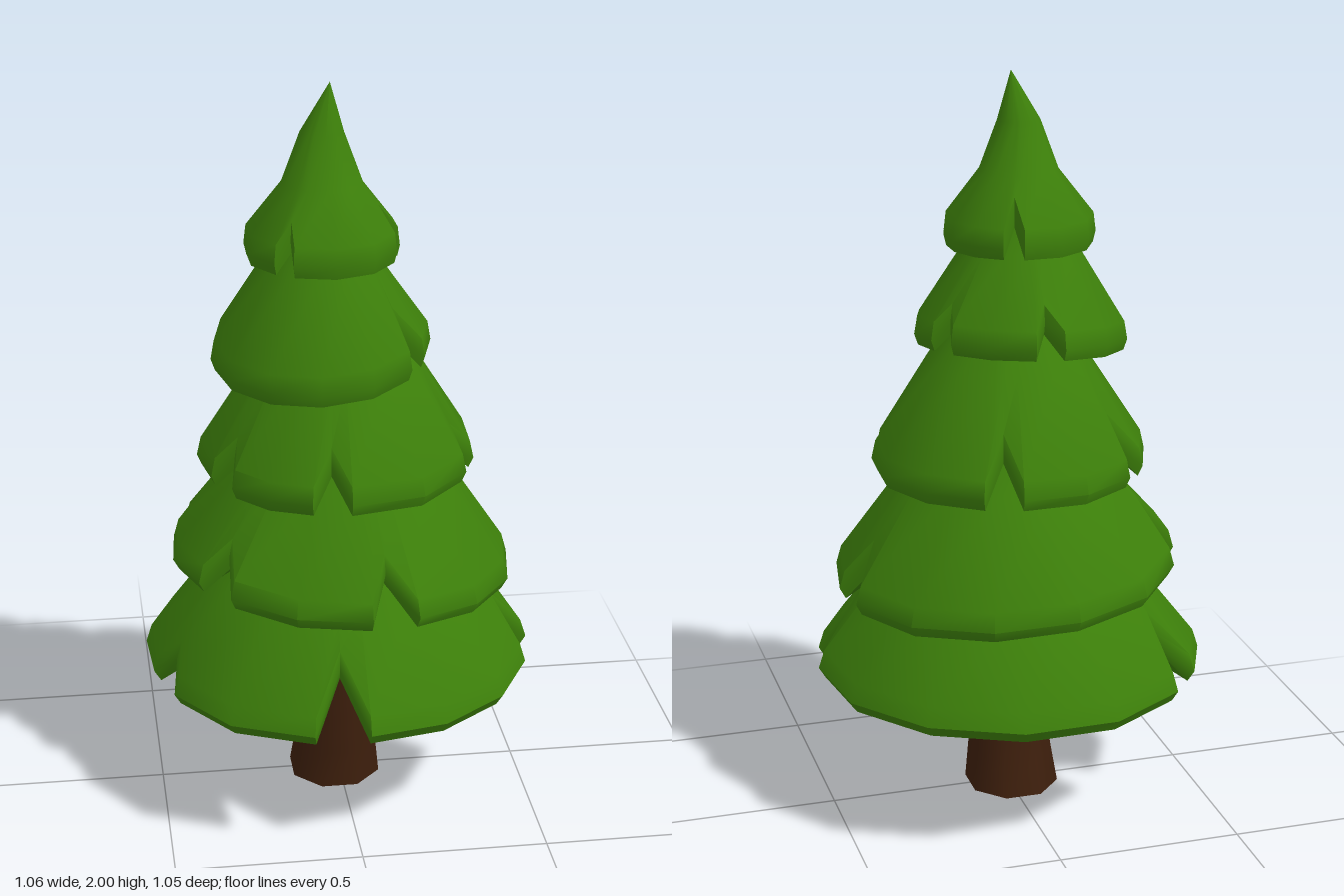
import * as THREE from 'three';
import { toCreasedNormals } from 'three/addons/utils/BufferGeometryUtils.js';

const leaf = new THREE.MeshStandardMaterial({ color: 0x3d800a, side: THREE.DoubleSide });
leaf.name = 'leafGreen';
const bark = new THREE.MeshStandardMaterial({ color: 0x3c1e0c });
bark.name = 'barkBrown';

// Skin a stack of closed rings, each a list of [x, y, z] clockwise from above.
function loft(rings, crease) {
  const n = rings[0].length;
  const index = [];
  for (let k = 0; k < rings.length - 1; k++) {
    for (let i = 0; i < n; i++) {
      const a = k * n + i, b = k * n + (i + 1) % n;
      index.push(a, b + n, a + n, a, b, b + n);
    }
  }
  const geo = new THREE.BufferGeometry();
  geo.setAttribute('position', new THREE.Float32BufferAttribute(rings.flat(2), 3));
  geo.setIndex(index);
  return toCreasedNormals(geo, crease);
}

// Rim in polar form: broad leaves of one radius, parted by notches [degrees, radius].
function leafRim(radius, notches) {
  const rim = [];
  notches.forEach(([start, depth], i) => {
    const last = i === notches.length - 1;
    const end = last ? notches[0][0] + 360 : notches[i + 1][0];
    const from = start + 7, to = end - 9;
    const steps = Math.max(2, Math.round((to - from) / 27));
    rim.push({ a: start, r: depth });
    for (let s = 0; s <= steps; s++) {
      const endOfLeaf = s === 0 || s === steps;
      rim.push({ a: from + (to - from) * s / steps, r: radius * (endOfLeaf ? 0.98 : 1) });
    }
  });
  return rim.map(({ a, r }) => ({ a: THREE.MathUtils.degToRad(a), r }));
}

// One skirt of branches: upper and under list [height, radius] rings above and below the rim.
// The rim climbs the cone wherever a notch cuts into it.
function tier({ center: [cx, cz], tip = [cx, cz], upper, under, edge, tilt = [0, 0], radius, notches }) {
  const rim = leafRim(radius, notches);
  const circle = ([y, r], x = cx, z = cz) =>
    rim.map(({ a }) => [x + r * Math.cos(a), y, z + r * Math.sin(a)]);
  const scaled = (s, dy) => rim.map(({ a, r }) => {
    const x = r * Math.cos(a), z = r * Math.sin(a);
    const lift = 1.3 * Math.max(0, radius * 0.98 - r) + tilt[0] * x + tilt[1] * z;
    return [cx + x * s, edge + dy + lift, cz + z * s];
  });
  return loft([
    circle(upper[0], ...tip),
    ...upper.slice(1).map((ring) => circle(ring)),
    scaled(0.97, 0.055),
    scaled(1, 0.005),
    scaled(0.965, -0.025),
    scaled(0.88, 0),
    ...under.map((ring) => circle(ring)),
  ], 0.8);
}

// Branch tiers from the ground up.
const bottomTier = {
  center: [0, 0], upper: [[0.74, 0.28], [0.65, 0.35]], under: [[0.59, 0.28], [0.66, 0]],
  edge: 0.38, tilt: [0.01, -0.012], radius: 0.538,
  notches: [[13, 0.43], [97, 0.42], [163, 0.48], [219, 0.42]],
};
const lowerTier = {
  center: [0.01, -0.02], upper: [[1.03, 0.22], [0.95, 0.27]], under: [[0.72, 0.28]],
  edge: 0.66, tilt: [-0.06, 0], radius: 0.472,
  notches: [[-6, 0.39], [80, 0.385], [145, 0.4], [200, 0.36]],
};
const middleTier = {
  center: [-0.005, 0.005], upper: [[1.37, 0.135], [1.25, 0.215]], under: [[1.03, 0.215]],
  edge: 0.96, radius: 0.377,
  notches: [[-71, 0.29], [22, 0.32], [100, 0.305], [154, 0.32], [219, 0.29]],
};
const upperTier = {
  center: [-0.055, 0.06], upper: [[1.62, 0.115], [1.54, 0.15]], under: [[1.36, 0.11]],
  edge: 1.285, tilt: [0.06, -0.1], radius: 0.29,
  notches: [[-89, 0.235], [-25, 0.245], [34, 0.215]],
};
const topTier = {
  center: [-0.05, 0.06], tip: [-0.03, 0.065], upper: [[2, 0], [1.87, 0.057], [1.74, 0.105]],
  under: [[1.61, 0.11]], edge: 1.565, radius: 0.205,
  notches: [[-69, 0.145], [17, 0.15], [127, 0.16]],
};

// Leaning eight-sided trunk, flared at the foot.
function trunk() {
  const ring = (y, rx, rz, cx, cz) => Array.from({ length: 8 }, (_, i) => {
    const a = (i + 0.5) * Math.PI / 4;
    return [cx + rx * Math.cos(a), y, cz + rz * Math.sin(a)];
  });
  return loft([
    ring(0.68, 0, 0, -0.01, 0.02),
    ring(0.68, 0.068, 0.068, -0.01, 0.02),
    ring(0.45, 0.085, 0.088, -0.008, 0.02),
    ring(0.2, 0.105, 0.1, -0.01, 0.025),
    ring(0.1, 0.117, 0.118, -0.01, 0.01),
    ring(0, 0.13, 0.135, -0.012, 0),
    ring(0, 0, 0, -0.012, 0),
  ], 0.9);
}

export function createModel() {
  const tree = new THREE.Group();
  tree.name = 'pineTree';
  const add = (geometry, material, name) => {
    const mesh = new THREE.Mesh(geometry, material);
    mesh.name = name;
    tree.add(mesh);
  };
  add(trunk(), bark, 'trunk');
  const tiers = { bottomTier, lowerTier, middleTier, upperTier, topTier };
  for (const [name, spec] of Object.entries(tiers)) add(tier(spec), leaf, name);
  return tree;
}
